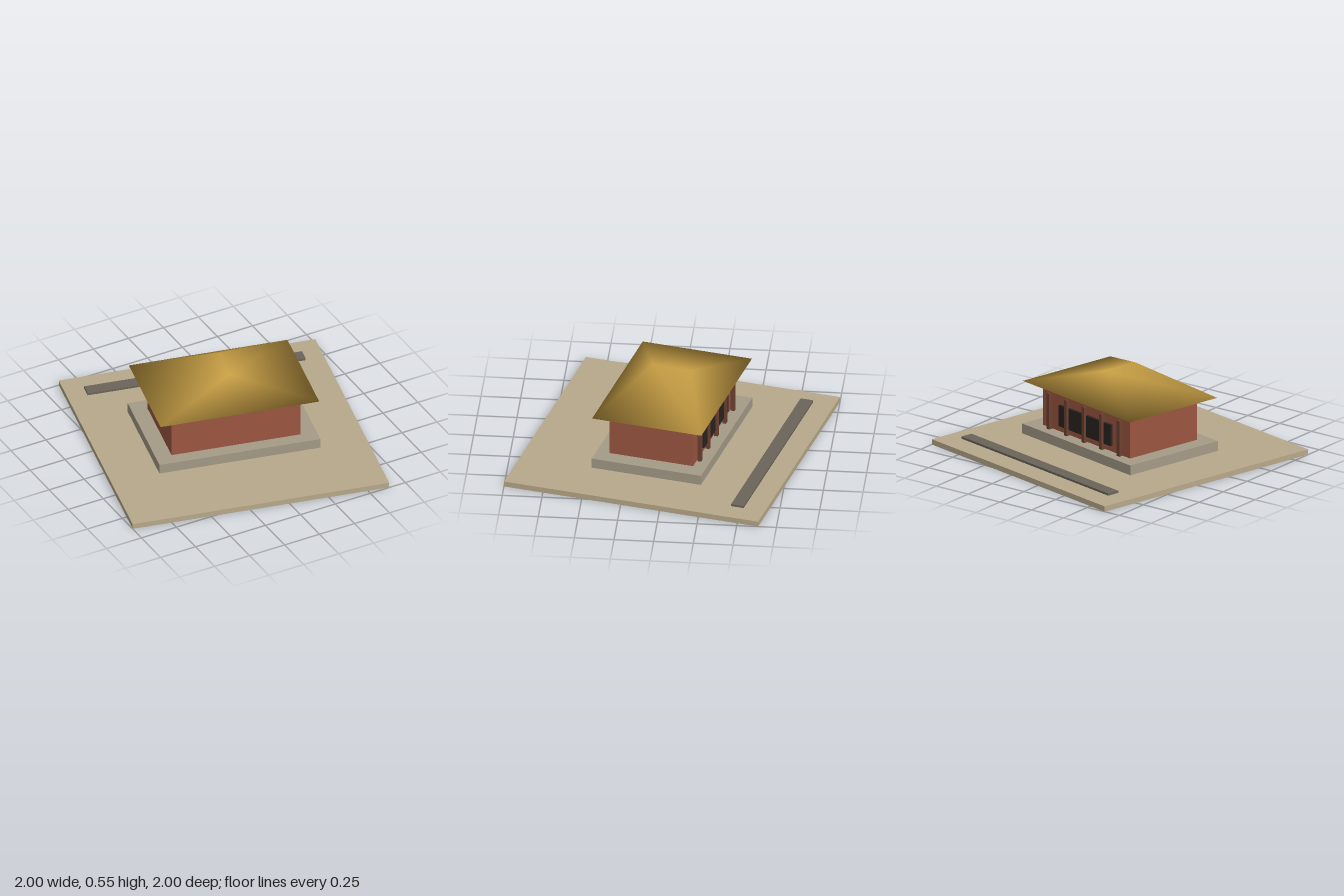
import * as THREE from 'three';

const paint = (color) => new THREE.MeshStandardMaterial({ color });

// Box given by its size, its underside height and its centre in plan
function box(name, material, w, h, d, bottom, x = 0, z = 0) {
  const mesh = new THREE.Mesh(new THREE.BoxGeometry(w, h, d), material);
  mesh.name = name;
  mesh.position.set(x, bottom + h / 2, z);
  return mesh;
}

// Closed hip roof with shared, smoothed corners and a short ridge along z
function hipRoof(w, d, h, ridge) {
  const x = w / 2, z = d / 2, r = ridge / 2;
  const geometry = new THREE.BufferGeometry();
  geometry.setAttribute('position', new THREE.Float32BufferAttribute([
    -x, 0, -z, x, 0, -z, x, 0, z, -x, 0, z, // eaves: 0 to 3
    0, h, r, 0, h, -r, // ridge: 4 front, 5 back
  ], 3));
  geometry.setIndex([
    3, 2, 4, // front hip
    1, 0, 5, // back hip
    0, 3, 5, 3, 4, 5, // left slope
    2, 1, 4, 1, 5, 4, // right slope
    0, 1, 2, 0, 2, 3, // underside
  ]);
  geometry.computeVertexNormals();
  return geometry;
}

export function createModel() {
  const model = new THREE.Group();
  model.name = 'pavilion';

  // Everything is turned slightly on the plot
  const site = new THREE.Group();
  site.name = 'site';
  site.rotation.y = -0.2196;
  model.add(site);

  // Ground slab, path and plinth
  site.add(box('groundSlab', paint(0xb8a98a), 1.675, 0.035, 1.675, 0));
  site.add(box('path', paint(0x6b645a), 1.423, 0.014, 0.083, 0.042, 0, -0.66));
  site.add(box('plinth', paint(0xa59b87), 1.05, 0.065, 0.72, 0.05));

  // Main room
  site.add(box('walls', paint(0x9c5640), 0.843, 0.253, 0.55, 0.115));

  // Window band and posts along the back wall
  site.add(box('windowBand', paint(0x2a2421), 0.5, 0.14, 0.02, 0.155, 0, -0.282));
  const timber = paint(0x6e4230);
  for (let i = -2; i <= 2; i++) {
    site.add(box('post', timber, 0.025, 0.235, 0.025, 0.115, i * 0.17, -0.293));
  }

  // Roof
  const roof = new THREE.Mesh(hipRoof(1.036, 0.72, 0.152, 0.25), paint(0xc9a045));
  roof.name = 'roof';
  roof.position.y = 0.4;
  site.add(roof);

  return model;
}
